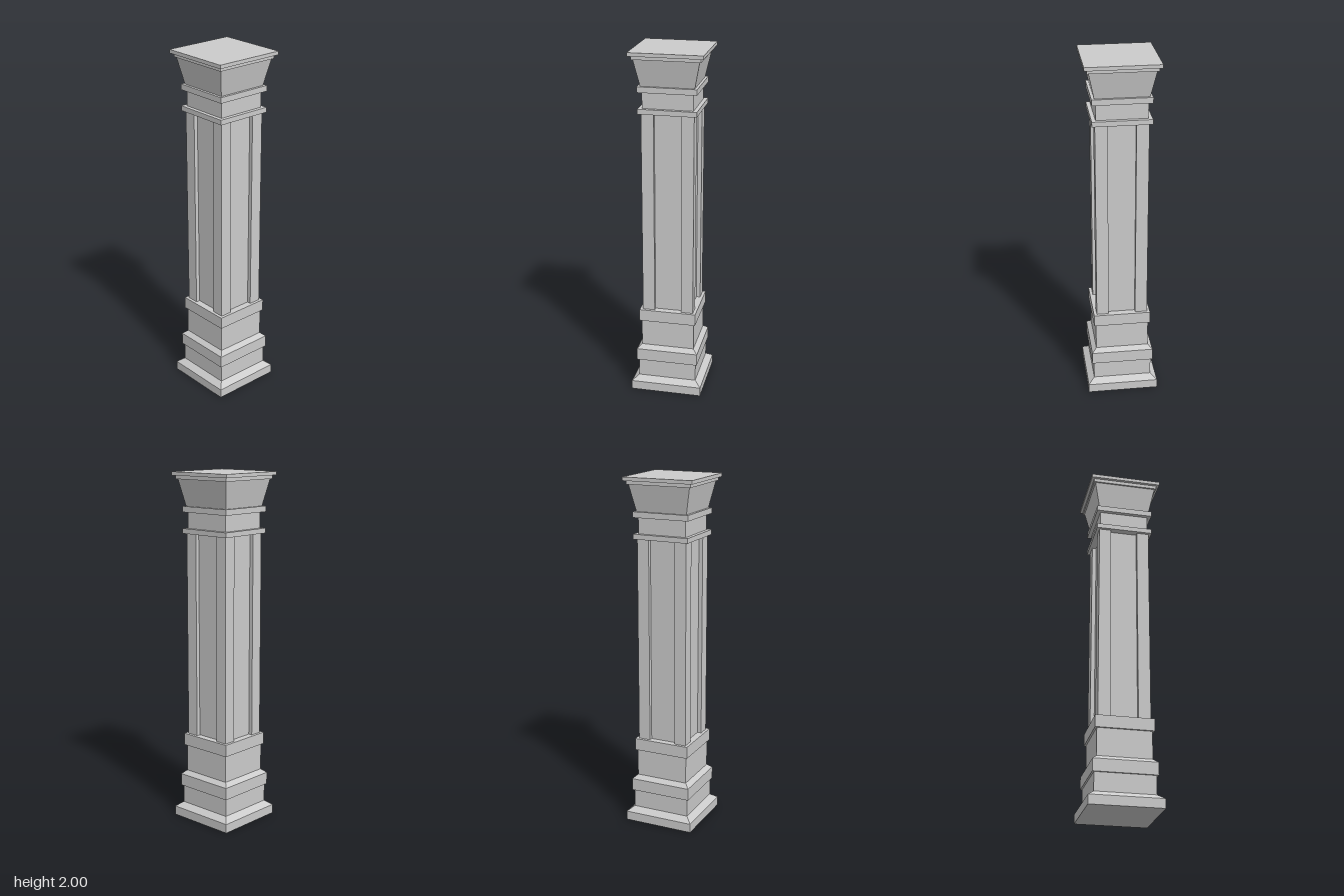
import * as THREE from 'three';

const material = new THREE.MeshStandardMaterial({ color: 0xcccccc, flatShading: true });

// Square block from y0 to y1, with half-widths at the bottom and top
function block(name, y0, y1, bottom, top = bottom) {
  const geometry = new THREE.CylinderGeometry(top * Math.SQRT2, bottom * Math.SQRT2, y1 - y0, 4, 1, false, Math.PI / 4);
  const mesh = new THREE.Mesh(geometry, material);
  mesh.name = name;
  mesh.position.y = (y0 + y1) / 2;
  return mesh;
}

// Square shaft with a shallow recessed panel on each face
function shaft(y0, y1, half, panelHalf, depth) {
  const points = [];
  const inner = half - depth;
  for (let i = 0; i < 4; i++) {
    const side = [[half, -half], [half, -panelHalf], [inner, -panelHalf], [inner, panelHalf], [half, panelHalf]];
    for (const [x, y] of side) {
      points.push(new THREE.Vector2(x, y).rotateAround(new THREE.Vector2(), i * Math.PI / 2));
    }
  }
  const geometry = new THREE.ExtrudeGeometry(new THREE.Shape(points), { depth: y1 - y0, bevelEnabled: false });
  geometry.rotateX(-Math.PI / 2);
  const mesh = new THREE.Mesh(geometry, material);
  mesh.name = 'panelledShaft';
  mesh.position.y = y0;
  return mesh;
}

export function createModel() {
  const column = new THREE.Group();
  column.name = 'column';

  // Pedestal
  column.add(
    block('plinth', 0, 0.052, 0.204),
    block('plinthBevel', 0.052, 0.08, 0.204, 0.168),
    block('lowerBase', 0.08, 0.184, 0.168),
    block('baseBand', 0.184, 0.254, 0.178),
    block('baseBandBevel', 0.254, 0.277, 0.178, 0.152),
    block('upperBase', 0.277, 0.433, 0.152),
    block('baseCollar', 0.433, 0.502, 0.163),
  );

  column.add(shaft(0.502, 1.662, 0.146, 0.077, 0.023));

  // Capital
  column.add(
    block('lowerNeckBand', 1.662, 1.69, 0.163),
    block('neck', 1.69, 1.78, 0.141),
    block('upperNeckBand', 1.78, 1.812, 0.163),
    block('flaredCapital', 1.812, 1.96, 0.148, 0.179),
    block('capitalMoulding', 1.96, 1.98, 0.188),
    block('topSlab', 1.98, 2, 0.204),
  );
  return column;
}
